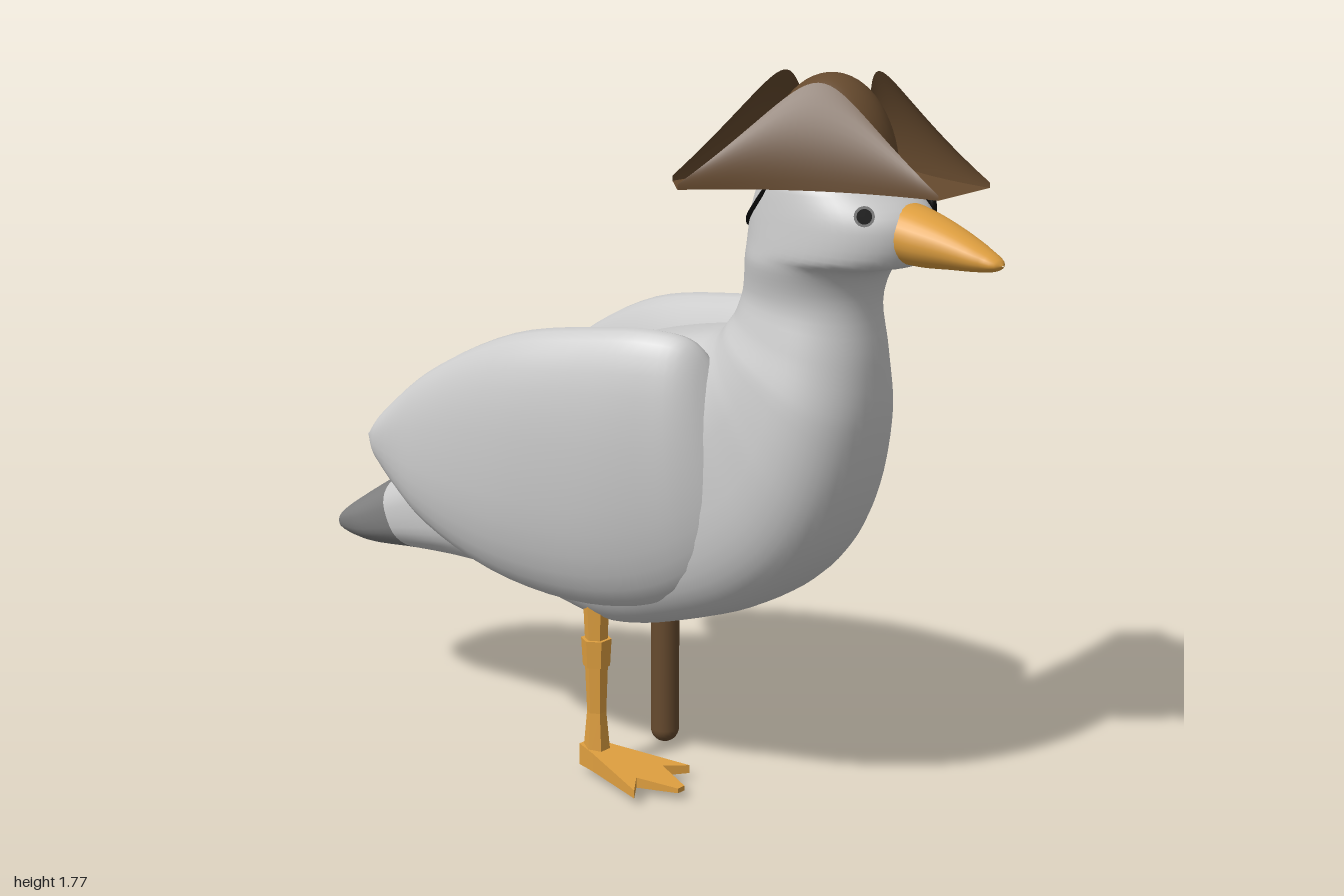
import * as THREE from 'three';

const V = (x, y, z) => new THREE.Vector3(x, y, z);
const mat = (name, color, extra = {}) => Object.assign(new THREE.MeshStandardMaterial({ color, ...extra }), { name });

// Smooth loft through rings. Row: top x,y, bottom x,y, half width, squareness, top z, bottom z
function makeLoft(rows, side = 1, steps = 5, seg = 48) {
  const curve = f => new THREE.CatmullRomCurve3(rows.map(f));
  const top = curve(r => V(r[0], r[1], r[6] || 0));
  const bottom = curve(r => V(r[2], r[3], r[7] || 0));
  const size = curve(r => V(r[4], r[5], 0));
  const at = (row, a, grow = 1) => {
    const t = row / (rows.length - 1);
    const p = top.getPoint(t), q = bottom.getPoint(t), s = size.getPoint(t);
    const pow = v => Math.sign(v) * Math.abs(v) ** (2 / s.y) * grow;
    const out = p.clone().add(q).multiplyScalar(0.5);
    out.addScaledVector(p.sub(q), pow(Math.cos(a)) / 2);
    out.z = (out.z + s.x * pow(Math.sin(a))) * side;
    return out;
  };
  const pos = [], idx = [], n = (rows.length - 1) * steps;
  for (let i = 0; i <= n; i++) {
    for (let j = 0; j < seg; j++) {
      pos.push(...at(i / steps, j / seg * Math.PI * 2).toArray());
      if (i === n) continue;
      const a = i * seg + j, b = i * seg + (j + 1) % seg, c = a + seg, d = b + seg;
      idx.push(...(side > 0 ? [a, b, c, b, d, c] : [a, c, b, b, c, d]));
    }
  }
  const geometry = new THREE.BufferGeometry();
  geometry.setAttribute('position', new THREE.Float32BufferAttribute(pos, 3));
  geometry.setIndex(idx);
  geometry.computeVertexNormals();
  return { geometry, at, ringIndices: steps * seg * 6 };
}

export function createModel() {
  const model = new THREE.Group();
  const plumage = mat('pale plumage', 0xcccccc);
  const tailGrey = mat('grey tail', 0x808080);
  const orange = mat('orange', 0xe0a040);
  const orangeFlat = orange;
  orangeFlat.flatShading = false;
  const brown = mat('brown', 0x664a2e, { side: THREE.DoubleSide });
  const black = mat('black', 0x080808);
  const add = (name, geometry, material, parent = model) => {
    const m = new THREE.Mesh(geometry, material);
    m.name = name;
    parent.add(m);
    return m;
  };

  // Body, neck and head in one skin; the first rings are the dark tail
  const body = makeLoft([
    [-1.0, 0.452, -1.0, 0.448, 0.01, 2.4],
    [-0.995, 0.465, -0.99, 0.435, 0.08, 2.4],
    [-0.96, 0.5, -0.95, 0.425, 0.14, 2.5],
    [-0.87, 0.56, -0.82, 0.42, 0.19, 2.6],
    [-0.75, 0.635, -0.66, 0.435, 0.21, 2.7],
    [-0.62, 0.71, -0.5, 0.445, 0.225, 2.8],
    [-0.45, 0.86, -0.3, 0.44, 0.23, 3.2],
    [-0.25, 1.0, -0.15, 0.405, 0.232, 3.6],
    [-0.05, 1.08, 0, 0.385, 0.232, 3.8],
    [0.1, 1.12, 0.2, 0.43, 0.23, 3.5],
    [0.2, 1.14, 0.4, 0.51, 0.225, 3],
    [0.25, 1.15, 0.54, 0.63, 0.215, 2.7],
    [0.28, 1.17, 0.62, 0.78, 0.205, 2.5],
    [0.295, 1.19, 0.66, 0.97, 0.19, 2.4],
    [0.31, 1.22, 0.66, 1.12, 0.165, 2.2],
    [0.325, 1.28, 0.65, 1.27, 0.15, 2.1],
    [0.335, 1.35, 0.68, 1.34, 0.168, 2.1],
    [0.338, 1.4, 0.77, 1.368, 0.175, 2.1],
    [0.345, 1.46, 0.785, 1.46, 0.17, 2.1],
    [0.375, 1.53, 0.71, 1.53, 0.158, 2.1],
    [0.42, 1.57, 0.66, 1.57, 0.12, 2],
    [0.52, 1.6, 0.56, 1.6, 0.01, 2],
  ]);
  const cut = body.ringIndices * 4;
  body.geometry.addGroup(0, cut, 0);
  body.geometry.addGroup(cut, Infinity, 1);
  add('bodyAndTail', body.geometry, [tailGrey, plumage]);

  // Folded wings
  for (const side of [1, -1]) {
    const wing = makeLoft([
      [-0.645, 0.8, -0.645, 0.79, 0.015, 2, 0.31, 0.31],
      [-0.59, 0.865, -0.61, 0.73, 0.05, 2.2, 0.305, 0.305],
      [-0.45, 0.985, -0.48, 0.61, 0.07, 2.3, 0.29, 0.3],
      [-0.2, 1.11, -0.28, 0.5, 0.11, 2.3, 0.262, 0.25],
      [0.05, 1.158, 0, 0.46, 0.112, 2.2, 0.24, 0.205],
      [0.2, 1.17, 0.2, 0.5, 0.1, 2.1, 0.22, 0.17],
      [0.285, 1.15, 0.34, 0.6, 0.08, 2, 0.19, 0.15],
      [0.34, 1.06, 0.42, 0.75, 0.03, 2, 0.15, 0.13],
    ], side, 5, 32);
    add(side > 0 ? 'wingNear' : 'wingFar', wing.geometry, plumage);
  }

  // Beak
  add('beak', makeLoft([
    [0.75, 1.5, 0.75, 1.366, 0.085, 2.1],
    [0.8, 1.487, 0.8, 1.364, 0.077, 2.1],
    [0.87, 1.462, 0.87, 1.368, 0.06, 2.1],
    [0.94, 1.43, 0.94, 1.372, 0.042, 2.1],
    [0.985, 1.405, 0.985, 1.38, 0.022, 2],
    [0.995, 1.393, 0.995, 1.39, 0.003, 2],
  ], 1, 4, 28).geometry, orange);

  // Eye, eye patch and strap follow the head surface
  const place = (mesh, point, normal) => {
    mesh.position.copy(point);
    mesh.lookAt(point.clone().add(normal));
  };
  const rad = THREE.MathUtils.degToRad;
  const disc = (r, h) => new THREE.CylinderGeometry(r, r, h, 24).rotateX(Math.PI / 2);
  const eyePoint = body.at(18.3, rad(135), 1.01);
  const eyeNormal = V(0.6, 0.15, 0.78);
  place(add('eyeRim', disc(0.023, 0.008), tailGrey), eyePoint, eyeNormal);
  place(add('pupil', disc(0.017, 0.01), black), eyePoint, eyeNormal);
  const patch = add('eyePatch', new THREE.SphereGeometry(0.045, 24, 16).scale(1, 1.05, 0.35), black);
  place(patch, body.at(18.25, rad(225)), V(0.6, 0.15, -0.78));
  const strapPath = [[19.2, 205], [18.4, 222], [17.6, 245], [17, 270], [16.6, 300], [16.6, 330],
    [16.9, 360], [17.5, 390], [18.3, 410], [19.2, 425]].map(([row, a]) => body.at(row, rad(a), 1.01));
  add('patchStrap', new THREE.TubeGeometry(new THREE.CatmullRomCurve3(strapPath), 80, 0.006, 6), black);

  // Three-cornered hat: crown, base and turned-up brim flaps
  const hat = new THREE.Group();
  hat.name = 'hat';
  model.add(hat);
  const crown = new THREE.SphereGeometry(1, 32, 16, 0, Math.PI * 2, 0, Math.PI / 2);
  add('crown', crown.scale(0.155, 0.235, 0.155).translate(0.53, 1.535, 0), brown, hat);
  const edges = [
    [[0.89, 0.1], [0.58, 0.14], [0.38, 0.36]],
    [[0.3, 0.28], [0.33, 0], [0.3, -0.28]],
    [[0.38, -0.36], [0.58, -0.14], [0.89, -0.1]],
  ];
  const outline = new THREE.Shape().moveTo(...edges[0][0]);
  for (const [a, c, b] of edges) outline.lineTo(...a).quadraticCurveTo(...c, ...b);
  add('brimBase', new THREE.ShapeGeometry(outline, 20).rotateX(Math.PI / 2).translate(0, 1.537, 0), brown, hat);
  const flapPoint = ([a, c, b], u, v) => {
    const p = new THREE.QuadraticBezierCurve(...[a, c, b].map(q => new THREE.Vector2(...q))).getPoint(u);
    const s = Math.sin(Math.PI * u), lean = 0.37 * s * v * v;
    return V(p.x + (0.53 - p.x) * lean, 1.537 + v * (0.012 + 0.215 * s), p.y * (1 - lean));
  };
  edges.forEach((edge, i) => {
    const g = new THREE.PlaneGeometry(1, 1, 28, 10), p = g.attributes.position;
    for (let k = 0; k < p.count; k++) {
      p.setXYZ(k, ...flapPoint(edge, p.getX(k) + 0.5, p.getY(k) + 0.5).toArray());
    }
    g.computeVertexNormals();
    add(['brimNear', 'brimBack', 'brimFar'][i], g, brown, hat);
  });

  // Small star on the far flap
  const star = new THREE.Shape();
  for (let i = 0; i < 10; i++) {
    const r = i % 2 ? 0.011 : 0.031, a = i * Math.PI / 5 + Math.PI / 2;
    star[i ? 'lineTo' : 'moveTo'](r * Math.cos(a), r * Math.sin(a));
  }
  const starNormal = V(0.42, 0.4, -0.82).normalize();
  const starMesh = add('hatStar', new THREE.ExtrudeGeometry(star, { depth: 0.009, bevelEnabled: false }), orange, hat);
  place(starMesh, flapPoint(edges[2], 0.5, 0.74).addScaledVector(starNormal, 0.001), starNormal);

  // Faceted leg with webbed foot
  const leg = new THREE.Group();
  leg.name = 'leg';
  leg.position.set(-0.04, 0, 0.157);
  model.add(leg);
  const facet = (name, rt, rb, y0, y1) => {
    const g = new THREE.CylinderGeometry(rt, rb, y1 - y0, 6).toNonIndexed();
    g.translate(0, (y0 + y1) / 2, 0).computeVertexNormals();
    add(name, g, orange, leg);
  };
  facet('thigh', 0.033, 0.028, 0.34, 0.46);
  facet('kneeCollar', 0.038, 0.034, 0.28, 0.35);
  facet('shin', 0.029, 0.024, 0.16, 0.29);
  facet('ankle', 0.024, 0.036, 0.03, 0.16);
  const web = new THREE.Shape([[-0.035, -0.025], [0.02, -0.04], [0.21, -0.105], [0.17, -0.05], [0.27, -0.012],
    [0.27, 0.012], [0.17, 0.05], [0.21, 0.105], [0.02, 0.04], [-0.035, 0.025]].map(q => new THREE.Vector2(...q)));
  const foot = new THREE.ExtrudeGeometry(web, { depth: 1, bevelEnabled: false }).rotateX(-Math.PI / 2);
  const fp = foot.attributes.position;
  for (let i = 0; i < fp.count; i++) {
    fp.setY(i, 0.018 + fp.getY(i) * THREE.MathUtils.mapLinear(fp.getX(i), -0.035, 0.27, 0.055, 0.012));
  }
  foot.computeVertexNormals();
  add('webbedFoot', foot, orange, leg);

  // Wooden peg leg
  add('pegLeg', new THREE.CapsuleGeometry(0.036, 0.4, 8, 20).translate(-0.045, 0.236, -0.112), brown);
  return model;
}
